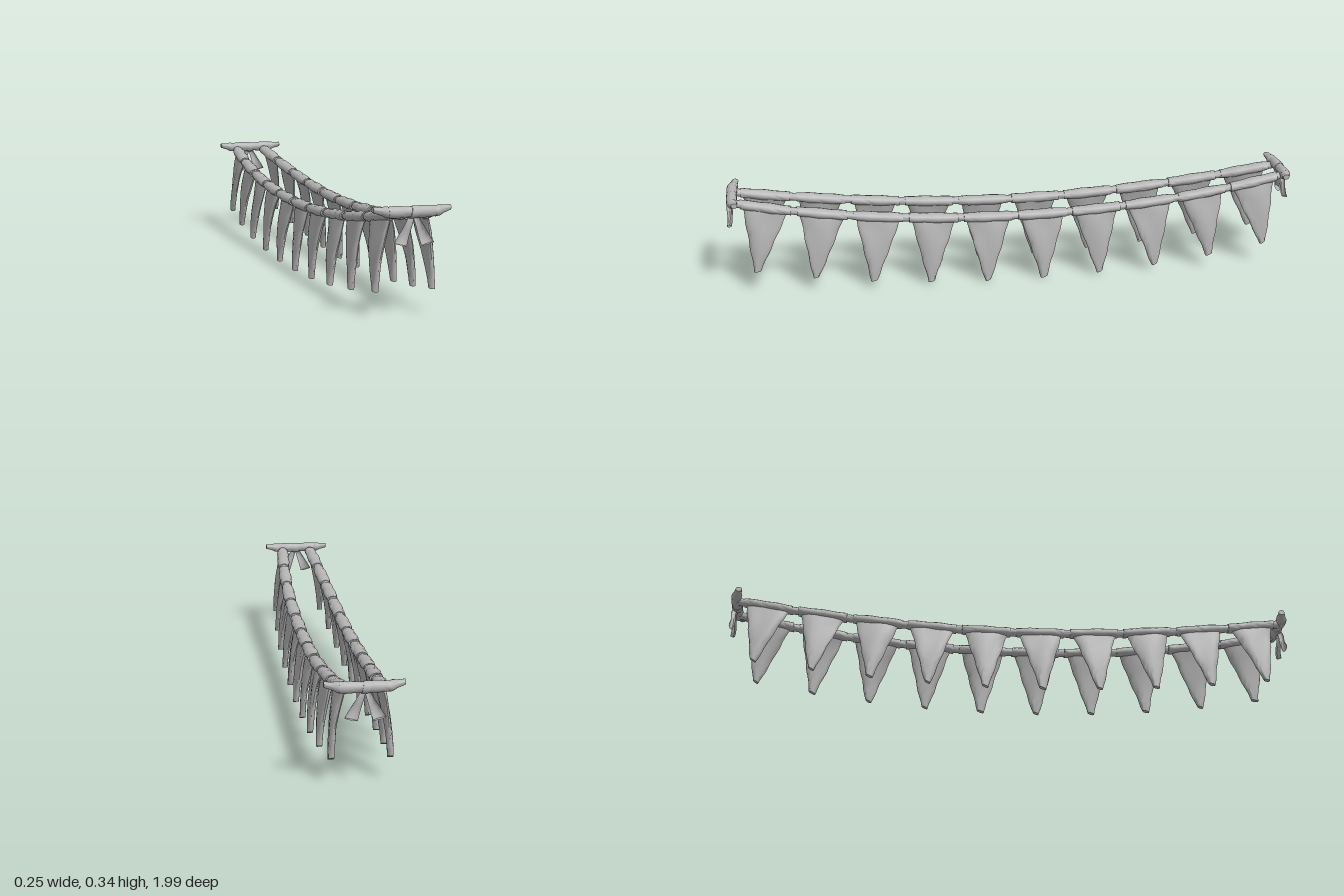
import * as THREE from 'three';
import { toCreasedNormals } from 'three/addons/utils/BufferGeometryUtils.js';

const lerp = THREE.MathUtils.lerp;
const PENNANTS = 10, SPACING = 0.191;

// The sagging path that both cords follow; side is +1 (left) or -1 (right)
const ropeY = z => 0.226 + 0.09 * (z / 0.97) ** 2;
const ropeX = (z, side) => side * (0.082 - 0.028 * Math.abs(z / 0.97) ** 3);

// A unit cylinder whose vertices are moved by rule(t, a, b):
// t runs 0..1 along its length, a and b are the unit circle coordinates
function shaped(radial, rows, rule) {
  const geo = new THREE.CylinderGeometry(1, 1, 1, radial, rows);
  const p = geo.attributes.position;
  for (let i = 0; i < p.count; i++) {
    p.setXYZ(i, ...rule(p.getY(i) + 0.5, p.getX(i), p.getZ(i)));
  }
  return toCreasedNormals(geo, 0.8);
}

// Length of cord between two z positions; swell gives the radius scale along it
function cord(z0, z1, side, rx, ry, rows, swell = () => 1) {
  return shaped(12, rows, (t, a, b) => {
    const z = lerp(z0, z1, t), k = swell(t);
    return [ropeX(z, side) + b * rx * k, ropeY(z) + a * ry * k, z];
  });
}

// Thick cloth triangle hanging from the origin, leaning outwards
function pennantGeometry(side, seed) {
  return shaped(20, 12, (t, a, b) => {
    const d = 1 - t;
    const halfWidth = lerp(0.078, 0.011, d) + 0.0015 * Math.sin(d * 17 + seed);
    const halfDepth = lerp(0.013, 0.010, d);
    const u = Math.sign(b) * Math.abs(b) ** 0.8;
    const fold = 0.005 * Math.sin(u * 3.2 + seed * 1.7 + d * 3) * (1 - d) * Math.min(1, d * 5);
    const lean = 0.031 * d + 0.006 * Math.sin(Math.PI * d);
    return [
      side * (lean + fold) + a * halfDepth,
      -0.225 * d - 0.004 * u * d,
      u * halfWidth,
    ];
  });
}

export function createModel() {
  const model = new THREE.Group();
  model.name = 'buntingGarland';
  const cloth = new THREE.MeshStandardMaterial({ color: 0xb4b4b4 });
  cloth.name = 'greyCloth';

  const add = (parent, name, geo) => {
    const mesh = new THREE.Mesh(geo, cloth);
    mesh.name = name;
    parent.add(mesh);
    return mesh;
  };

  // Two cords, each with a row of sleeved pennants
  for (const side of [1, -1]) {
    const row = new THREE.Group();
    row.name = side > 0 ? 'leftGarland' : 'rightGarland';
    model.add(row);
    add(row, 'cord', cord(-0.97, 0.97, side, 0.016, 0.013, 48));

    for (let i = 0; i < PENNANTS; i++) {
      const z = (i - (PENNANTS - 1) / 2) * SPACING;
      const seed = i * 2.3 + side;
      add(row, 'sleeve', cord(z - 0.085, z + 0.085, side, 0.024, 0.018, 10,
        t => 0.86 + 0.12 * Math.sin(Math.PI * t) + 0.05 * Math.sin(t * 13 + seed)));

      const pennant = add(row, 'pennant', pennantGeometry(side, seed));
      pennant.position.set(ropeX(z, side), ropeY(z), z);
      const slope = 2 * 0.09 * z / 0.97 ** 2;
      const turn = (ropeX(z + 0.01, side) - ropeX(z - 0.01, side)) / 0.02;
      pennant.rotation.set(-Math.atan(slope), Math.atan(turn), 0, 'YXZ');
    }
  }

  // Tied crossbar at each end
  for (const end of [1, -1]) {
    const tie = new THREE.Group();
    tie.name = end > 0 ? 'frontTie' : 'backTie';
    tie.rotation.y = end > 0 ? 0 : Math.PI;
    model.add(tie);

    // Rolled bar with a gentle swell
    add(tie, 'crossbar', shaped(14, 12, (t, a, b) => {
      const r = 0.0175 + 0.0015 * Math.sin(t * 11);
      return [lerp(-0.078, 0.078, t), 0.323 + b * r, 0.973 + a * r];
    }));

    for (const side of [1, -1]) {
      // Flattened ends that bend inwards past the knots
      add(tie, 'barEnd', shaped(12, 8, (t, a, b) => {
        const k = side > 0 ? t : 1 - t;
        const bulge = 0.003 * Math.sin(Math.PI * Math.min(1, k * 2));
        return [
          side * lerp(0.07, 0.122, k),
          lerp(0.322, 0.331, k) + b * (lerp(0.016, 0.009, k) + bulge),
          lerp(0.973, 0.962, k) + a * (lerp(0.017, 0.011, k) + bulge),
        ];
      }));

      // Flared ribbon tails below the bar
      add(tie, 'ribbonTail', shaped(12, 8, (t, a, b) => {
        const d = 1 - t;
        const across = b * lerp(0.008, 0.02, d);
        return [
          side * (0.004 + 0.039 * d) + across,
          0.315 - 0.088 * d + side * across * 0.25 * d,
          0.978 + 0.009 * d + 0.003 * Math.sin(d * 6) - a * lerp(0.009, 0.008, d),
        ].map((v, i) => (i === 2 ? v + 2 * a * lerp(0.009, 0.008, d) : v));
      }));
    }

    // Wrap of ribbon at the middle of the bar
    add(tie, 'centreWrap', shaped(14, 4, (t, a, b) => {
      const r = 0.0185 + 0.001 * Math.sin(Math.PI * t);
      return [lerp(-0.008, 0.014, t) + b * 0.004, 0.322 + b * r, 0.973 + a * r];
    }));
  }
  return model;
}
